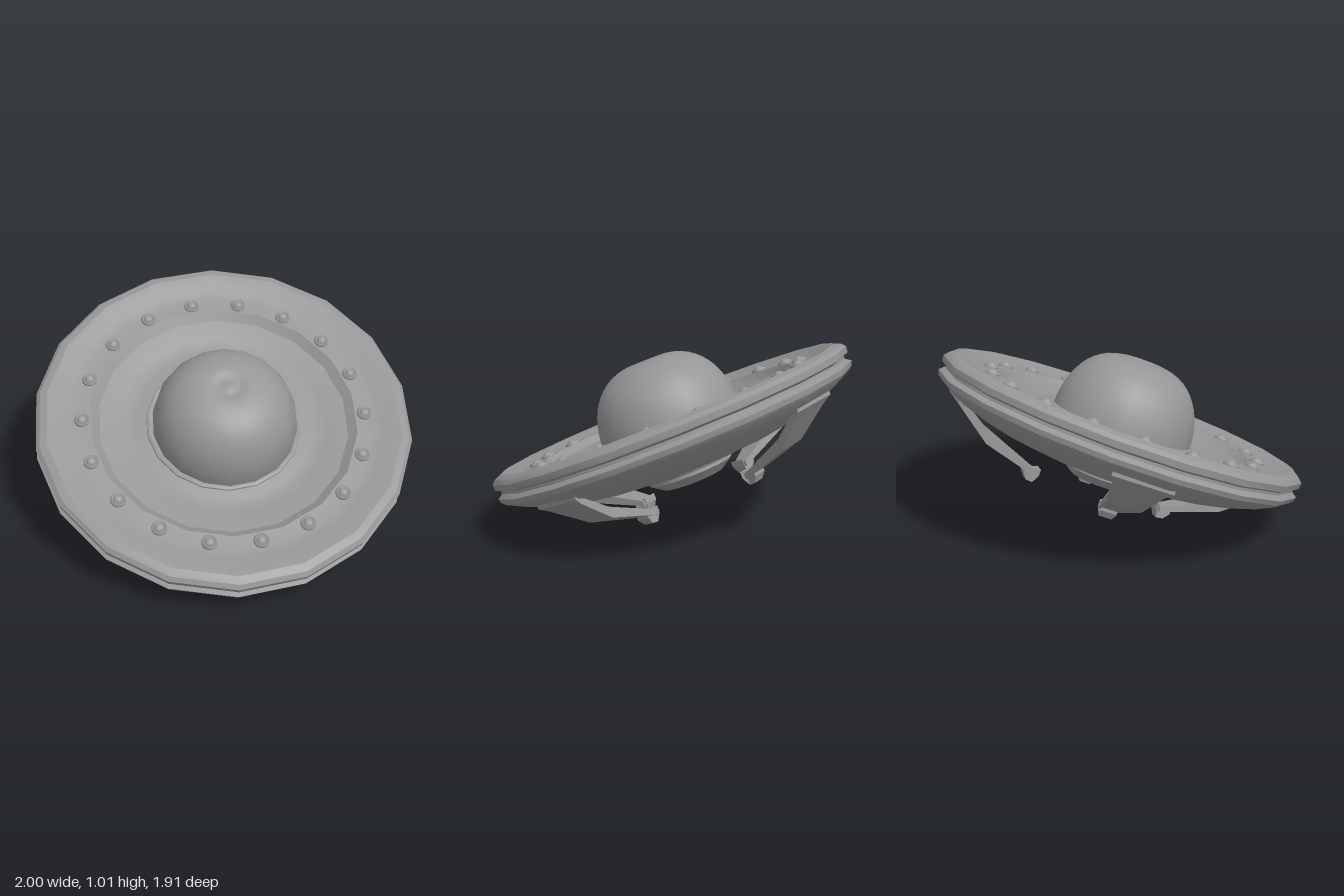
import * as THREE from 'three';
import { toCreasedNormals } from 'three/addons/utils/BufferGeometryUtils.js';

const grey = new THREE.MeshStandardMaterial({ color: 0x969696 });
const SIDES = 18;

function add(parent, name, geometry) {
  const mesh = new THREE.Mesh(geometry, grey);
  mesh.name = name;
  parent.add(mesh);
  return mesh;
}

// Revolves [radius, height] points, listed bottom to top along the outside.
function lathe(points, sides = SIDES, crease = 0.6) {
  const profile = points.map(([r, y]) => new THREE.Vector2(r, y));
  return toCreasedNormals(new THREE.LatheGeometry(profile, sides), crease);
}

// Joins rectangular sections [z, topY, bottomY, halfWidth] running inward (falling z).
function loft(sections) {
  const pos = [], index = [];
  for (const [z, top, bottom, w] of sections) {
    pos.push(-w, top, z, w, top, z, w, bottom, z, -w, bottom, z);
  }
  for (let s = 0; s < sections.length - 1; s++) {
    for (let k = 0; k < 4; k++) {
      const a = s * 4 + k, b = s * 4 + (k + 1) % 4;
      index.push(a, b, b + 4, a, b + 4, a + 4);
    }
  }
  const e = (sections.length - 1) * 4;
  index.push(0, 2, 1, 0, 3, 2, e, e + 1, e + 2, e, e + 2, e + 3);
  const geo = new THREE.BufferGeometry();
  geo.setAttribute('position', new THREE.Float32BufferAttribute(pos, 3));
  geo.setIndex(index);
  const flat = geo.toNonIndexed();
  flat.computeVertexNormals();
  return flat;
}

export function createModel() {
  const model = new THREE.Group();
  model.name = 'flyingSaucer';

  // The whole craft is banked, nose down
  const craft = new THREE.Group();
  craft.name = 'craft';
  craft.rotation.set(0.389, 0, 0.11);
  craft.position.set(0, 0.557, 0);
  model.add(craft);

  // Disc: underside, grooved rim, dished top with a sharp stepped ring
  add(craft, 'disc', lathe([
    [0.3, -0.245], [0.45, -0.235], [0.6, -0.215], [0.76, -0.178], [0.9, -0.125], [0.985, -0.08],
    [1.005, -0.062], [1.015, -0.035], [0.985, -0.015], [0.985, 0.0],
    [1.01, 0.012], [1.015, 0.045], [0.995, 0.066], [0.955, 0.08],
    [0.9, 0.07], [0.85, 0.052], [0.8, 0.045], [0.72, 0.05],
    [0.675, 0.01], [0.62, 0.0], [0.57, -0.012], [0.52, -0.026], [0.47, -0.022], [0.42, -0.012], [0.37, -0.01],
  ], SIDES, 0.45));

  // Engine hub under the disc, with a recessed nozzle
  add(craft, 'engineHub', lathe([
    [0, -0.275], [0.14, -0.275], [0.15, -0.335], [0.17, -0.335], [0.238, -0.288],
    [0.238, -0.262], [0.255, -0.268], [0.285, -0.265], [0.305, -0.24],
  ], SIDES, 0.4));

  // Full-shouldered dome with a soft dimple in the crown, and a low collar
  const domeProfile = [[0.39, -0.03]];
  for (let i = 0; i <= 12; i++) {
    const a = i / 12 * 1.4;
    domeProfile.push([0.39 * Math.cos(a) ** 0.7, 0.362 * Math.sin(a)]);
  }
  domeProfile.push([0.085, 0.354], [0.06, 0.344], [0.042, 0.344], [0.025, 0.35], [0, 0.352]);
  const dome = add(craft, 'dome', lathe(domeProfile));
  dome.position.z = 0.01;
  add(craft, 'domeCollar', lathe([[0.424, -0.025], [0.42, -0.004], [0.407, 0.002], [0.38, -0.004]]));

  // Ring of lamps
  const lampGeo = lathe([
    [0.042, -0.01], [0.041, 0.01], [0.034, 0.018], [0.027, 0.012], [0.021, 0.023], [0.012, 0.029], [0, 0.031],
  ], 12);
  for (let i = 0; i < 18; i++) {
    const a = (i + 0.5) * Math.PI / 9;
    const lamp = add(craft, 'lamp', lampGeo);
    lamp.position.set(0.76 * Math.sin(a), 0.046, 0.76 * Math.cos(a));
  }

  // Four landing legs: tapering plates with a flared root, ending in small feet
  const legGeo = loft([
    [0.91, -0.09, -0.13, 0.16], [0.87, -0.12, -0.16, 0.135],
    [0.69, -0.24, -0.3, 0.095], [0.37, -0.375, -0.405, 0.045],
  ]);
  const footGeo = loft([
    [0.435, -0.37, -0.4, 0.045], [0.41, -0.37, -0.435, 0.035], [0.37, -0.365, -0.44, 0.03], [0.35, -0.36, -0.395, 0.045],
  ]);
  for (const degrees of [52, 149, 232, 330]) {
    const leg = new THREE.Group();
    leg.name = 'landingLeg';
    leg.rotation.y = THREE.MathUtils.degToRad(degrees);
    add(leg, 'legPlate', legGeo);
    add(leg, 'foot', footGeo);
    craft.add(leg);
  }
  return model;
}
